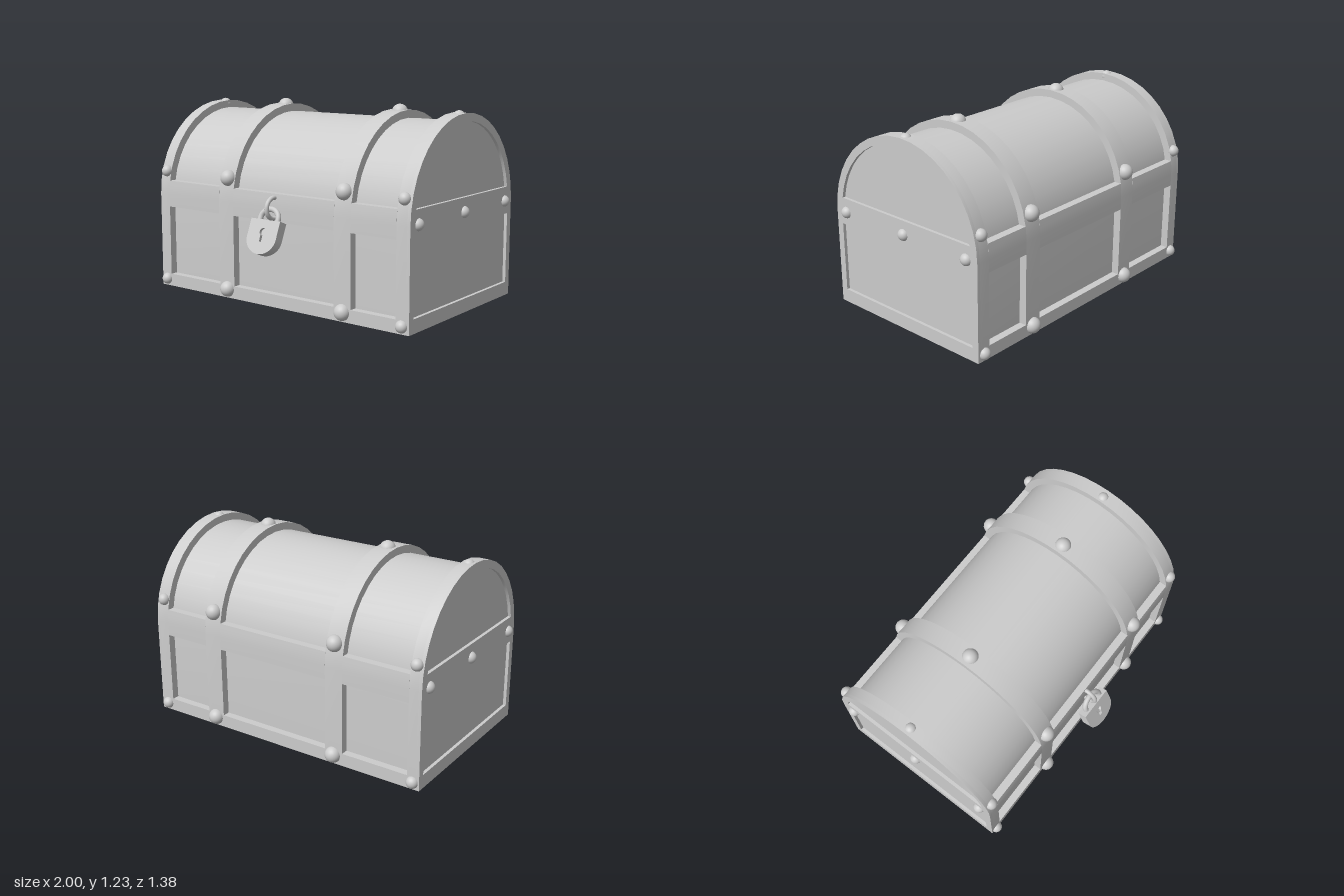
import * as THREE from 'three';
import { toCreasedNormals } from 'three/addons/utils/BufferGeometryUtils.js';

const SPRING = 0.61;   // height where the lid arch begins
const OUTER = 0.583;   // half depth and arch radius of the frame
const INNER = 0.535;   // same for the recessed planks
const MID_Z = -0.057;

const material = new THREE.MeshStandardMaterial({ color: 0xcccccc });

// Cross-section from y0 up to y1, following the vertical walls and then the arch
function section(r, y0, y1 = SPRING + r) {
  const a0 = Math.asin(Math.max(0, (y0 - SPRING) / r));
  const a1 = Math.asin(Math.min(1, (y1 - SPRING) / r));
  const steps = Math.max(2, Math.round((a1 - a0) / 0.157));
  const side = [];
  if (y0 < SPRING) side.push(new THREE.Vector2(r, y0));
  for (let i = 0; i <= steps; i++) {
    const a = a0 + (a1 - a0) * i / steps;
    side.push(new THREE.Vector2(r * Math.cos(a), SPRING + r * Math.sin(a)));
  }
  const other = side.map(p => new THREE.Vector2(-p.x, p.y)).reverse();
  if (a1 > 1.57) other.shift();
  return [...side, ...other];
}

function rectangle(w, y0, y1) {
  return [[w, y0], [w, y1], [-w, y1], [-w, y0]].map(p => new THREE.Vector2(...p));
}

function addMesh(parent, name, geometry) {
  const mesh = new THREE.Mesh(geometry, material);
  mesh.name = name;
  parent.add(mesh);
  return mesh;
}

// Extrude a cross-section along x
function addSlab(parent, name, points, x0, x1, holes = []) {
  const shape = new THREE.Shape(points);
  shape.holes = holes.map(h => new THREE.Path(h));
  const geo = new THREE.ExtrudeGeometry(shape, { depth: x1 - x0, bevelEnabled: false });
  geo.rotateY(Math.PI / 2).translate(x0, 0, MID_Z);
  return addMesh(parent, name, toCreasedNormals(geo, 0.5));
}

function addRivet(parent, r, x, y, z) {
  addMesh(parent, 'rivet', new THREE.SphereGeometry(r, 24, 16)).position.set(x, y, z);
}

function makePadlock() {
  const lock = new THREE.Group();
  lock.name = 'padlock';

  const outline = () => {
    const s = new THREE.Shape();
    s.moveTo(0.112, 0);
    s.lineTo(-0.112, 0);
    s.lineTo(-0.112, -0.11);
    s.absellipse(0, -0.11, 0.112, 0.1, Math.PI, Math.PI * 2, false);
    s.closePath();
    return s;
  };
  const extrude = (shape, depth, z) => toCreasedNormals(
    new THREE.ExtrudeGeometry(shape, { depth, bevelEnabled: false, curveSegments: 20 }).translate(0, 0, z), 0.5);

  // Body with a keyhole cut into its front plate
  addMesh(lock, 'lockBody', extrude(outline(), 0.042, -0.03));
  const plate = outline();
  const keyhole = new THREE.Path();
  keyhole.moveTo(-0.011, -0.135);
  keyhole.lineTo(0.011, -0.135);
  keyhole.absarc(0, -0.075, 0.023, -1.07, Math.PI + 1.07, false);
  keyhole.closePath();
  plate.holes.push(keyhole);
  addMesh(lock, 'lockPlate', extrude(plate, 0.018, 0.012));

  // Shackle
  const path = [new THREE.Vector3(0.068, -0.01, 0)];
  for (let i = 0; i <= 12; i++) {
    const a = Math.PI * i / 12;
    path.push(new THREE.Vector3(0.068 * Math.cos(a), 0.012 + 0.06 * Math.sin(a), 0));
  }
  path.push(new THREE.Vector3(-0.068, -0.01, 0));
  addMesh(lock, 'shackle', new THREE.TubeGeometry(new THREE.CatmullRomCurve3(path), 40, 0.017, 12));

  lock.position.set(0.008, 0.545, 0.582);
  lock.rotation.x = -0.39;
  return lock;
}

export function createModel() {
  const chest = new THREE.Group();
  chest.name = 'chest';

  // Recessed planks
  addSlab(chest, 'planks', section(INNER, 0.02), -0.95, 0.95);

  // Arched ribs
  const ribs = [[-0.95, -0.89], [-0.45, -0.33], [0.45, 0.57], [0.88, 0.95]];
  for (const [x0, x1] of ribs) addSlab(chest, 'rib', section(OUTER, 0), x0, x1);

  // End frames with two shallow panels
  const panels = [rectangle(0.538, 0.085, 0.53), section(INNER, 0.7)];
  for (const x0 of [-0.97, 0.95]) addSlab(chest, 'endFrame', section(OUTER, 0), x0, x0 + 0.02, panels);

  // Rails between the ribs
  for (let i = 0; i < 3; i++) {
    const x0 = ribs[i][1], x1 = ribs[i + 1][0];
    addSlab(chest, 'bottomRail', rectangle(OUTER, 0, 0.08), x0, x1);
    addSlab(chest, 'middleRail', section(OUTER, 0.53, 0.7), x0, x1);
  }

  // Rivets on every rib: front, back and crown
  for (const [x, r, low] of [[-0.925, 0.037, 0.045], [-0.385, 0.05, 0.057], [0.51, 0.05, 0.057], [0.92, 0.037, 0.045]]) {
    for (const side of [-1, 1]) {
      addRivet(chest, r, x, low, MID_Z + side * 0.582);
      addRivet(chest, r, x, 0.76, MID_Z + side * 0.563);
    }
    addRivet(chest, r, x, r > 0.04 ? 1.177 : 1.17, MID_Z);
  }

  // Rivets on both ends
  for (const x of [-0.963, 0.963])
    for (const dz of [-0.497, 0, 0.497]) addRivet(chest, 0.037, x, 0.612, MID_Z + dz);

  // Staple ring and padlock
  const staple = addMesh(chest, 'staple', new THREE.TorusGeometry(0.063, 0.014, 12, 32));
  staple.rotation.y = Math.PI / 2;
  staple.position.set(0.005, 0.615, 0.535);
  chest.add(makePadlock());

  return chest;
}
